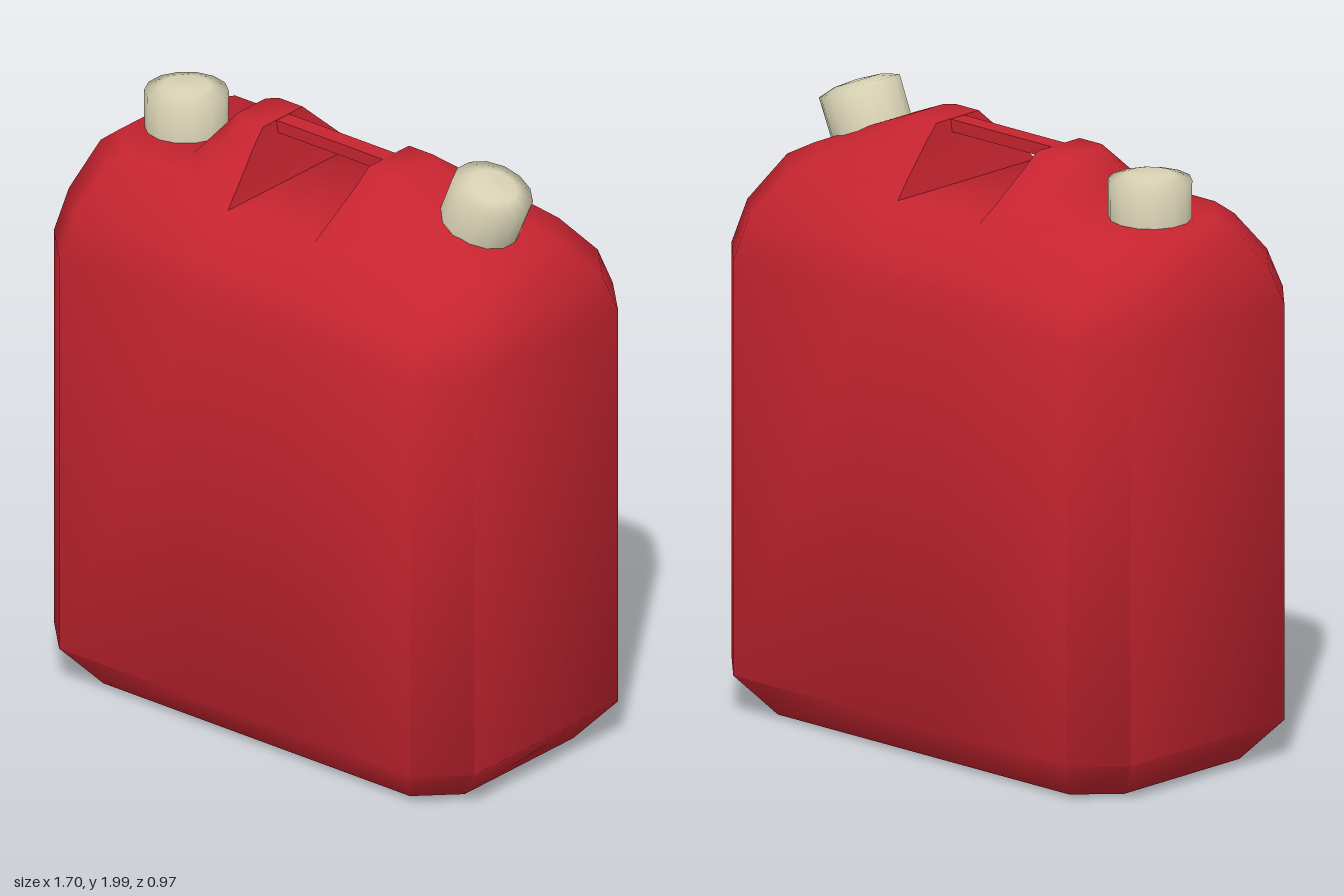
import * as THREE from 'three';
import { toCreasedNormals } from 'three/addons/utils/BufferGeometryUtils.js';

const red = new THREE.MeshStandardMaterial({ color: 0xc62430 });
red.name = 'red plastic';
const cream = new THREE.MeshStandardMaterial({ color: 0xd8d2b4 });
cream.name = 'cream plastic';

const GRIP = 0.175; // half length of the grip recess floor

// Chamfered half outline towards one end (side = 1 or -1), counter-clockwise from above
function endOutline(side, y, x, z, c, inner) {
  const pts = [[inner, z], [x - c, z], [x, z - c], [x, c - z], [x - c, -z], [inner, -z]]
    .map(([px, pz]) => [side * px, y, pz]);
  return side > 0 ? pts : pts.reverse();
}

// Full outline, split at the grip so that the shoulders share its corners
const outline = (y, left, right, z, c) => [
  ...endOutline(1, y, right, z, c, GRIP),
  ...endOutline(-1, y, left, z, c, GRIP),
];

// Add triangles for a fan of points
function fan(out, pts) {
  for (let i = 1; i < pts.length - 1; i++) out.push(...pts[0], ...pts[i], ...pts[i + 1]);
}

// Skin a stack of outlines from bottom to top
function loft(out, rings) {
  for (let k = 0; k < rings.length - 1; k++) {
    const a = rings[k], b = rings[k + 1];
    a.forEach((p, i) => {
      const j = (i + 1) % a.length;
      fan(out, [p, a[j], b[j], b[i]]);
    });
  }
}

function bodyGeometry() {
  const out = [];
  // Main tank: [y, left, right, half depth, corner cut]
  const tank = [
    [0, 0.74, 0.74, 0.38, 0.12],
    [0.13, 0.85, 0.85, 0.485, 0.14],
    [1.47, 0.85, 0.85, 0.485, 0.14],
    [1.6, 0.835, 0.835, 0.43, 0.14],
    [1.735, 0.8, 0.77, 0.31, 0.13],
  ].map((r) => outline(...r));
  loft(out, tank);
  fan(out, [...tank[0]].reverse());

  // Shoulders either side of the grip: [y, end, half depth, corner cut, grip wall]
  const left = [
    [1.735, 0.8, 0.31, 0.13, GRIP],
    [1.775, 0.75, 0.265, 0.12, 0.185],
    [1.78, 0.46, 0.258, 0.12, 0.186],
    [1.88, 0.38, 0.15, 0.06, 0.208],
    [1.93, 0.34, 0.095, 0.03, 0.215],
  ];
  const right = [
    [1.735, 0.77, 0.31, 0.13, GRIP],
    [1.78, 0.69, 0.262, 0.12, 0.186],
    [1.88, 0.46, 0.15, 0.07, 0.208],
    [1.93, 0.34, 0.095, 0.03, 0.215],
  ];
  [[-1, left], [1, right]].forEach(([side, rows]) => {
    const rings = rows.map((r) => endOutline(side, ...r));
    loft(out, rings);
    fan(out, rings[rings.length - 1]);
  });

  // Floor of the grip recess
  const y = 1.735, z = 0.31;
  fan(out, [[-GRIP, y, z], [GRIP, y, z], [GRIP, y, -z], [-GRIP, y, -z]]);

  const geo = new THREE.BufferGeometry();
  geo.setAttribute('position', new THREE.Float32BufferAttribute(out, 3));
  return toCreasedNormals(geo, THREE.MathUtils.degToRad(60));
}

export function createModel() {
  const model = new THREE.Group();
  model.name = 'fuelCan';

  const add = (name, geometry, material) => {
    const mesh = new THREE.Mesh(geometry, material);
    mesh.name = name;
    model.add(mesh);
    return mesh;
  };

  add('body', bodyGeometry(), red);

  // Thin carrying bar across the recess
  add('handleBar', new THREE.BoxGeometry(0.46, 0.04, 0.06), red).position.set(0, 1.909, 0);

  // Slightly domed screw caps, the right-hand one tilted with the shoulder
  const profile = [[0.13, -0.01], [0.131, 0.125], [0.075, 0.142], [0, 0.147]]
    .map(([r, h]) => new THREE.Vector2(r, h));
  const capGeometry = new THREE.LatheGeometry(profile, 14);
  add('ventCap', capGeometry, cream).position.set(-0.605, 1.775, 0);
  const spoutCap = add('spoutCap', capGeometry, cream);
  spoutCap.position.set(0.585, 1.828, 0);
  spoutCap.rotation.z = -0.4;

  return model;
}
